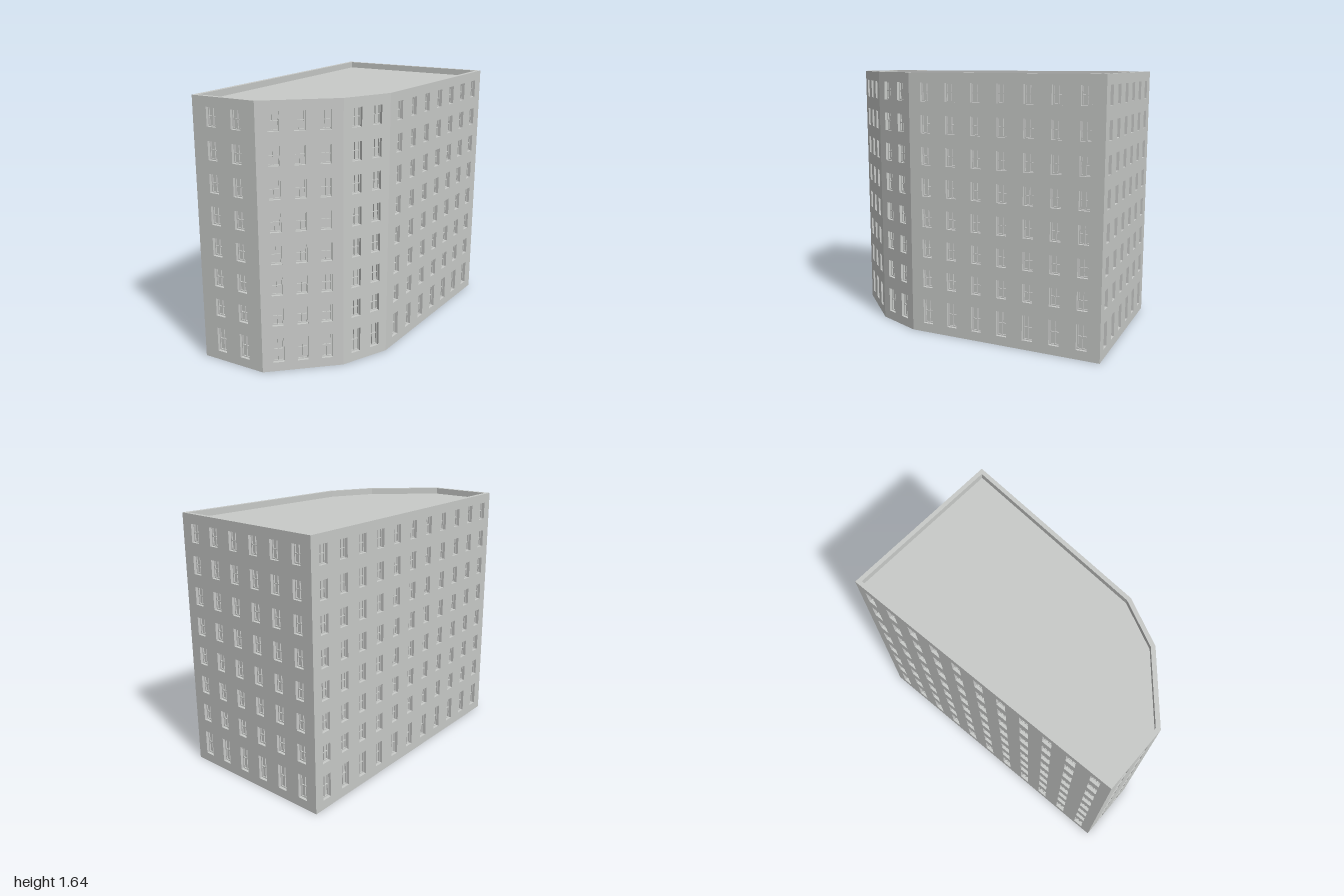
import * as THREE from 'three';
import { mergeGeometries } from 'three/addons/utils/BufferGeometryUtils.js';

const HEIGHT = 1.64, ROOF = 1.6, THICK = 0.027;
const WIN_W = 0.066, FLOORS = 8, PITCH_Y = 0.195, TOP_Y = 1.58;

// Footprint corners (x, z), walked so each wall faces outward
const corners = [
  [-1, -0.27], [-0.935, 0.155], [-0.56, 0.475], [-0.25, 0.575], [1, 0.48], [0.875, -0.58],
].map(([x, z]) => new THREE.Vector2(x, z));

// Walls in corner order: window count and spacing
const walls = [
  { name: 'leftWall', count: 2, pitch: 0.17 },
  { name: 'frontChamferWall', count: 3, pitch: 0.147 },
  { name: 'frontCornerWall', count: 2, pitch: 0.14 },
  { name: 'frontWall', count: 7, pitch: 0.171 },
  { name: 'rightWall', count: 6, pitch: 0.17 },
  { name: 'backWall', count: 11, pitch: 0.17 },
];

const N = corners.length;
const direction = (i) => corners[(i + 1) % N].clone().sub(corners[i % N]).normalize();
const inward = (i) => { const d = direction(i); return new THREE.Vector2(d.y, -d.x); };

// Mitred inner corners, one wall thickness in
const inner = corners.map((p, i) => {
  const a = inward((i + N - 1) % N), b = inward(i);
  return p.clone().add(a.clone().add(b).multiplyScalar(THICK / (1 + a.dot(b))));
});

function rectPoints(x, y, w, h) {
  return [[x, y], [x + w, y], [x + w, y + h], [x, y + h]].map(([u, v]) => new THREE.Vector2(u, v));
}

function extrude(shape, depth) {
  return new THREE.ExtrudeGeometry(shape, { depth, bevelEnabled: false });
}

// Four-pane sash frame, origin at its bottom left
function frameGeometry(h) {
  const edge = 0.006, bar = 0.005;
  const w = (WIN_W - 2 * edge - bar) / 2, ph = (h - 2 * edge - bar) / 2;
  const shape = new THREE.Shape(rectPoints(0, 0, WIN_W, h));
  for (const x of [edge, edge + w + bar])
    for (const y of [edge, edge + ph + bar])
      shape.holes.push(new THREE.Path(rectPoints(x, y, w, ph)));
  return extrude(shape, 0.008);
}

// Wall panel with window openings, its back face mitred to meet its neighbours
function buildWall(i, material) {
  const { name, count, pitch } = walls[i];
  const a = corners[i], b = corners[(i + 1) % N], dir = direction(i);
  const length = a.distanceTo(b);
  const shape = new THREE.Shape(rectPoints(0, 0, length, HEIGHT));
  const frames = [];
  for (let f = 0; f < FLOORS; f++) {
    const h = f === FLOORS - 1 ? 0.157 : 0.113; // taller on the ground floor
    const y = TOP_Y - f * PITCH_Y - h;
    const frame = frameGeometry(h);
    for (let k = 0; k < count; k++) {
      const x = length / 2 + (k - (count - 1) / 2) * pitch - WIN_W / 2;
      shape.holes.push(new THREE.Path(rectPoints(x, y, WIN_W, h)));
      frames.push(frame.clone().translate(x, y, -THICK));
    }
  }
  const panel = extrude(shape, THICK).translate(0, 0, -THICK);
  const pos = panel.attributes.position;
  const start = inner[i].clone().sub(a).dot(dir);
  const end = inner[(i + 1) % N].clone().sub(a).dot(dir);
  for (let v = 0; v < pos.count; v++) {
    if (pos.getZ(v) > -THICK / 2) continue;
    if (pos.getX(v) < 1e-4) pos.setX(v, start);
    else if (pos.getX(v) > length - 1e-4) pos.setX(v, end);
  }
  panel.computeVertexNormals();

  const group = new THREE.Group();
  group.name = name;
  const wall = new THREE.Mesh(panel, material);
  wall.name = name + 'Panel';
  const windows = new THREE.Mesh(mergeGeometries(frames), material);
  windows.name = name + 'WindowFrames';
  group.add(wall, windows);
  group.position.set(a.x, 0, a.y);
  group.rotation.y = Math.atan2(-dir.y, dir.x);
  return group;
}

export function createModel() {
  const model = new THREE.Group();
  model.name = 'apartmentBlock';
  const concrete = new THREE.MeshStandardMaterial({ color: 0xc8cac8 });
  concrete.name = 'paleGrey';

  // Inner core gives the roof deck, the underside and the window panes
  const coreShape = new THREE.Shape(inner.map((p) => new THREE.Vector2(p.x, -p.y)));
  const core = new THREE.Mesh(extrude(coreShape, ROOF).rotateX(-Math.PI / 2), concrete);
  core.name = 'roofAndCore';
  model.add(core);

  // Outer walls rise past the roof as a parapet
  for (let i = 0; i < N; i++) model.add(buildWall(i, concrete));
  return model;
}
